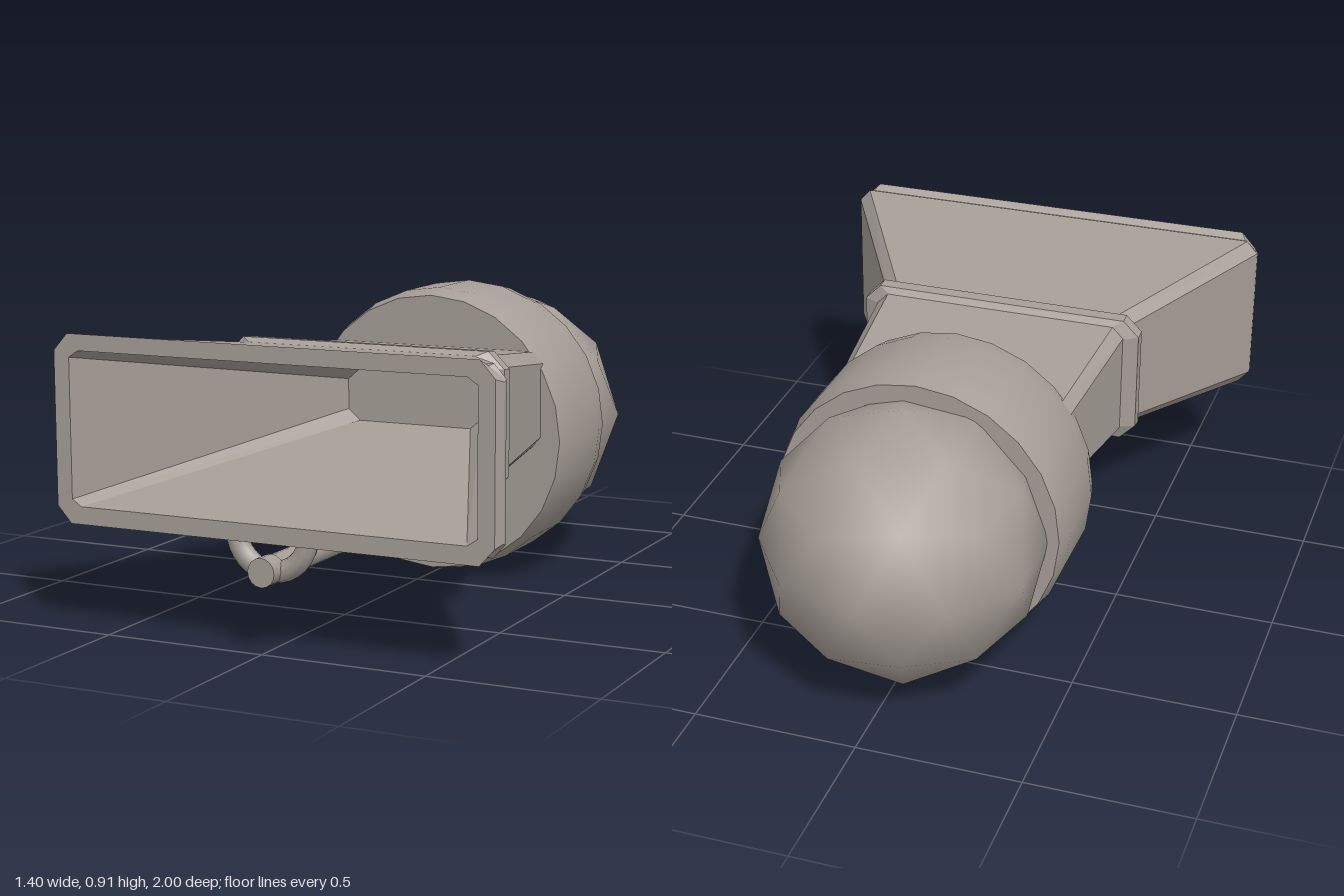
import * as THREE from 'three';
import { toCreasedNormals } from 'three/addons/utils/BufferGeometryUtils.js';

// Chamfered rectangle, counter-clockwise seen from +z
function ring([z, hx, y0, y1, cx, cy]) {
  return [
    [hx, y0 + cy, z], [hx, y1 - cy, z], [hx - cx, y1, z], [-hx + cx, y1, z],
    [-hx, y1 - cy, z], [-hx, y0 + cy, z], [-hx + cx, y0, z], [hx - cx, y0, z],
  ];
}

// Faceted skin through a series of rings, with an optional cap on the last one
function loft(sections, capEnd = false) {
  const rings = sections.map(ring);
  const pos = [];
  const tri = (...corners) => corners.forEach((p) => pos.push(...p));
  for (let k = 0; k < rings.length - 1; k++) {
    for (let i = 0; i < 8; i++) {
      const j = (i + 1) % 8;
      const a = rings[k][i], b = rings[k][j], c = rings[k + 1][j], d = rings[k + 1][i];
      tri(a, b, c);
      tri(a, c, d);
    }
  }
  if (capEnd) {
    const last = rings[rings.length - 1];
    for (let i = 1; i < 7; i++) tri(last[0], last[i], last[i + 1]);
  }
  const geo = new THREE.BufferGeometry();
  geo.setAttribute('position', new THREE.Float32BufferAttribute(pos, 3));
  geo.computeVertexNormals();
  return geo;
}

export function createModel() {
  const model = new THREE.Group();
  const metal = new THREE.MeshStandardMaterial({ color: 0xa69e97 });
  metal.name = 'warm grey metal';

  const add = (name, geo, x = 0, y = 0, z = 0) => {
    const mesh = new THREE.Mesh(geo, metal);
    mesh.name = name;
    mesh.position.set(x, y, z);
    model.add(mesh);
    return mesh;
  };

  // Horn: narrow neck, flared bell, thick lip, then the funnel back to the throat
  // each row: z, half width, bottom, top, chamfer in x, chamfer in y
  add('horn', loft([
    [-0.13, 0.37, 0.435, 0.73, 0.03, 0.035],
    [0.33, 0.41, 0.385, 0.775, 0.035, 0.035],
    [0.4, 0.41, 0.378, 0.782, 0.035, 0.035],
    [0.93, 0.7, 0.325, 0.845, 0.035, 0.04],
    [0.945, 0.7, 0.33, 0.84, 0.045, 0.04],
    [0.967, 0.685, 0.308, 0.858, 0.045, 0.05],
    [0.967, 0.635, 0.36, 0.81, 0.03, 0.02],
    [0.02, 0.23, 0.5, 0.665, 0.04, 0.035],
  ], true));

  // Raised band around the bend of the horn
  add('collar', loft([
    [0.315, 0.4, 0.39, 0.77, 0.035, 0.035],
    [0.335, 0.455, 0.376, 0.792, 0.05, 0.05],
    [0.375, 0.455, 0.37, 0.795, 0.05, 0.05],
    [0.4, 0.405, 0.385, 0.78, 0.035, 0.035],
  ]));

  // Drum with softly bevelled rims, leaning very slightly
  const profile = [
    [0, -0.1825], [0.437, -0.1825], [0.455, -0.11], [0.455, 0.11], [0.44, 0.1825], [0, 0.1825],
  ].map(([r, h]) => new THREE.Vector2(r, h));
  const drumGeo = new THREE.LatheGeometry(profile, 24).rotateX(-Math.PI / 2);
  add('drum', toCreasedNormals(drumGeo, 0.6), 0, 0.458, -0.285).rotation.x = 0.012;

  // Low-poly smooth dome, a corner up and an edge midpoint to the rear
  const domeGeo = new THREE.IcosahedronGeometry(0.425, 1)
    .rotateX(-Math.atan((1 + Math.sqrt(5)) / 2))
    .rotateY(Math.PI / 10);
  add('dome', domeGeo, 0, 0.455, -0.575);

  // Rod below the horn, with a slightly larger tip
  const rod = (r, length) => new THREE.CylinderGeometry(r, r, length, 16).rotateX(Math.PI / 2);
  add('rod', rod(0.038, 1.1), 0, 0.233, 0.41);
  add('rodTip', rod(0.042, 0.06), 0, 0.233, 0.97);

  // Half-ring hook hanging the rod from the lip
  const hookGeo = new THREE.TorusGeometry(0.113, 0.031, 10, 16, Math.PI).rotateZ(Math.PI);
  add('hook', hookGeo, 0, 0.335, 0.932);

  return model;
}
